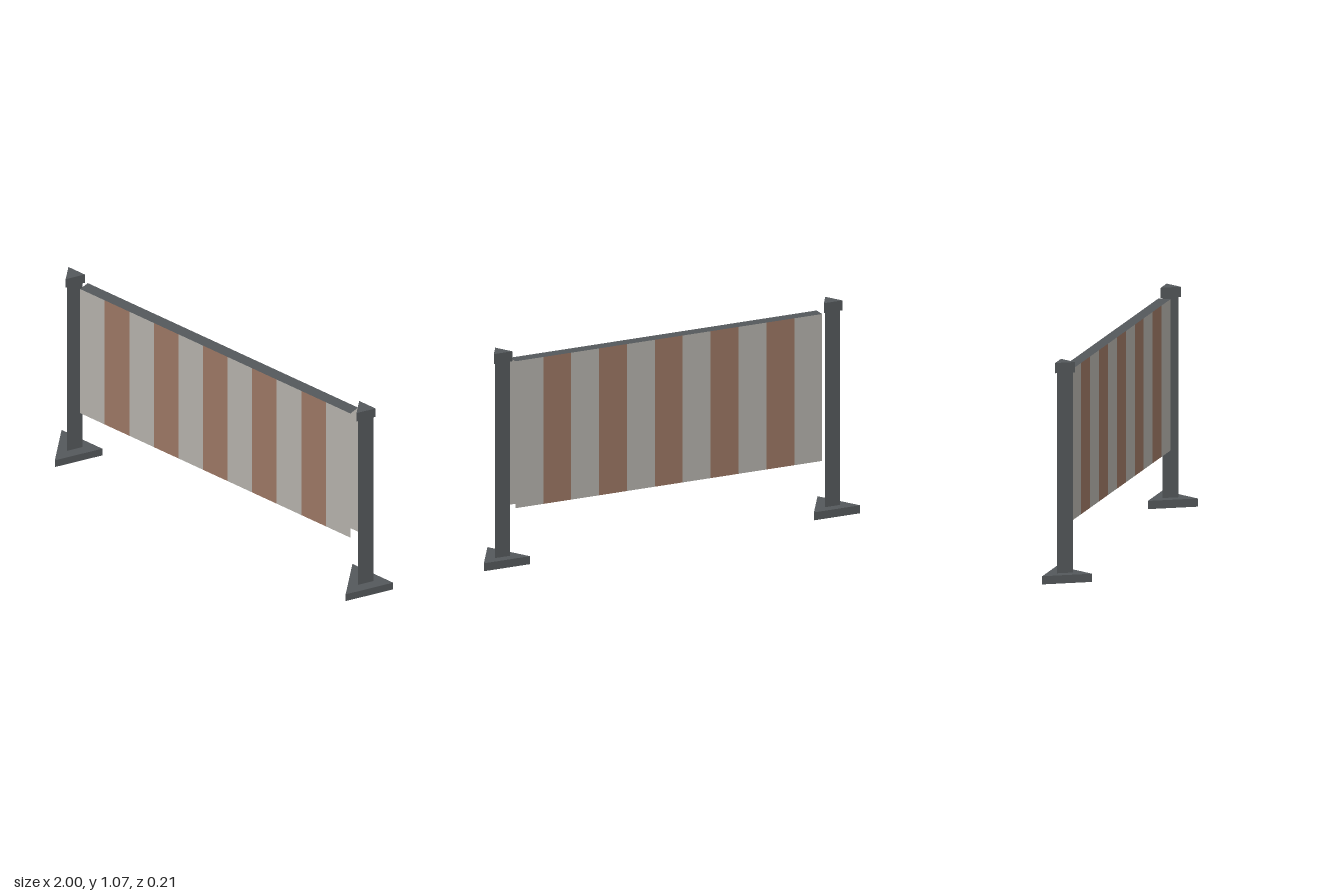
import * as THREE from 'three';

const material = (name, color) => {
  const m = new THREE.MeshStandardMaterial({ color, side: THREE.DoubleSide, flatShading: true });
  m.name = name;
  return m;
};

export function createModel() {
  const metal = material('dark metal', 0x54585b);
  const pale = material('pale grey', 0xb2afa9);
  const rust = material('rust brown', 0x9a7562);

  const model = new THREE.Group();
  model.name = 'barrier';
  const zMid = -0.036;

  const add = (parent, name, geometry, mat, x, y, z) => {
    const mesh = new THREE.Mesh(geometry, mat);
    mesh.name = name;
    mesh.position.set(x, y, z);
    parent.add(mesh);
    return mesh;
  };

  // Three-sided prism with one edge facing forward
  const prism = (radius, height, open = false) =>
    new THREE.CylinderGeometry(radius, radius, height, 3, 1, open);

  // Posts: hollow foot with a lid, shaft and cap
  for (const side of [-1, 1]) {
    const post = new THREE.Group();
    post.name = side > 0 ? 'leftPost' : 'rightPost';
    post.position.set(side * 0.877, 0, zMid);
    model.add(post);
    add(post, 'footSides', prism(0.142, 0.04, true), metal, 0, 0.02, 0);
    const lid = new THREE.CircleGeometry(0.142, 3, -Math.PI / 2).rotateX(-Math.PI / 2);
    add(post, 'footLid', lid, metal, 0, 0.04, 0);
    add(post, 'shaft', prism(0.046, 0.98), metal, 0, 0.53, 0);
    add(post, 'cap', prism(0.057, 0.05), metal, 0, 1.045, 0);
  }

  // Front and back sheets of alternating stripes, open at the ends and bottom
  const count = 11, width = 1.63, bottom = 0.28, top = 1.02, zFront = -0.012, zBack = -0.072;
  const step = width / count;
  for (const front of [true, false]) {
    const sheet = new THREE.Group();
    sheet.name = front ? 'frontSheet' : 'backSheet';
    model.add(sheet);
    for (let i = 0; i < count; i++) {
      const stripe = add(sheet, 'stripe', new THREE.PlaneGeometry(step, top - bottom), i % 2 ? rust : pale,
        (i + 0.5) * step - width / 2, (top + bottom) / 2, front ? zFront : zBack);
      if (!front) stripe.rotation.y = Math.PI;
    }
  }

  // Strip joining the sheets along the top
  const strip = new THREE.PlaneGeometry(width, zFront - zBack).rotateX(-Math.PI / 2);
  add(model, 'topStrip', strip, metal, 0, top, (zFront + zBack) / 2);

  return model;
}
